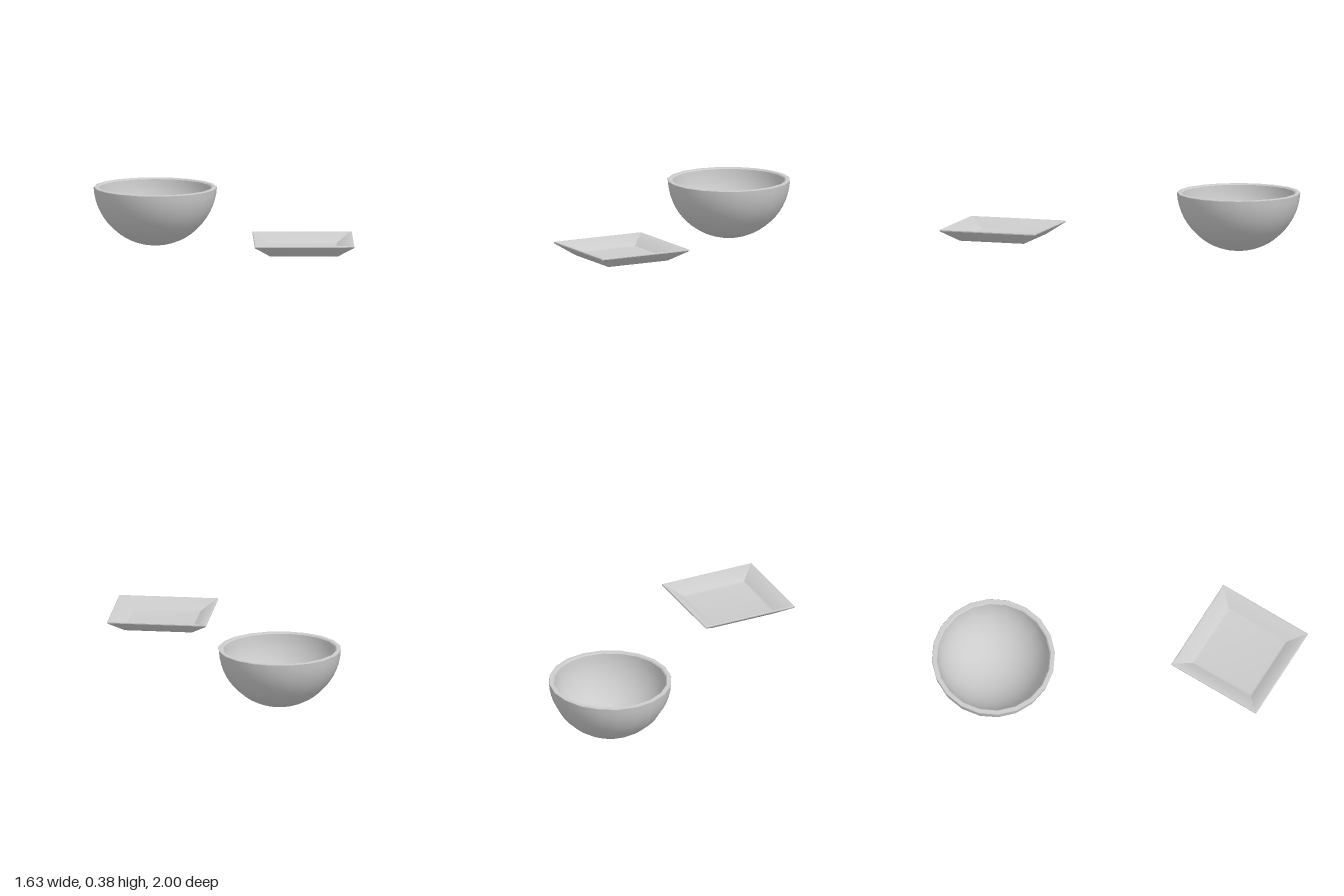
import * as THREE from 'three';
import { toCreasedNormals } from 'three/addons/utils/BufferGeometryUtils.js';

// Turned solid from [radius, height] points. Creasing is done at 100x size,
// so that closely spaced vertices stay apart.
function turned(name, profile, sides, crease, spin = 0) {
  const points = profile.map(([r, y]) => new THREE.Vector2(r * 100, y * 100));
  let geometry = new THREE.LatheGeometry(points, sides);
  geometry.rotateY(spin);
  geometry = toCreasedNormals(geometry, crease);
  geometry.scale(0.01, 0.01, 0.01);
  const mesh = new THREE.Mesh(geometry, new THREE.MeshStandardMaterial({ color: 0xcccccc }));
  mesh.name = name;
  return mesh;
}

// Arc of a sphere's wall, from the bottom pole to the height of the rim
function sphereArc(radius, centreY, rimY, steps) {
  const end = Math.acos((centreY - rimY) / radius);
  return Array.from({ length: steps + 1 }, (_, i) => {
    const a = (end * i) / steps;
    return [radius * Math.sin(a), centreY - radius * Math.cos(a)];
  });
}

export function createModel() {
  const model = new THREE.Group();

  // Round bowl: outer wall, rim with a small inner bevel, inner wall
  const outer = sphereArc(0.395, 0.395, 0.372, 14);
  const inner = sphereArc(0.362, 0.395, 0.369, 14).reverse();
  const bowl = turned('bowl', [...outer, [0.392, 0.376], [0.368, 0.376], ...inner], 20, 0.62);
  bowl.position.set(-0.42, 0, -0.605);
  model.add(bowl);

  // Square plate: [half width, height] from the underside round to the floor
  const plateProfile = [
    [0, 0.15], [0.207, 0.15], [0.216, 0.152], [0.224, 0.157],
    [0.314, 0.219], [0.318, 0.223], [0.318, 0.229], [0.315, 0.232], [0.308, 0.232],
    [0.222, 0.174], [0.214, 0.169], [0.203, 0.167], [0, 0.167],
  ].map(([half, y]) => [half * Math.SQRT2, y]);
  const plate = turned('plate', plateProfile, 4, 0.6, Math.PI / 4);
  plate.position.set(0.493, 0, 0.68);
  model.add(plate);

  return model;
}
